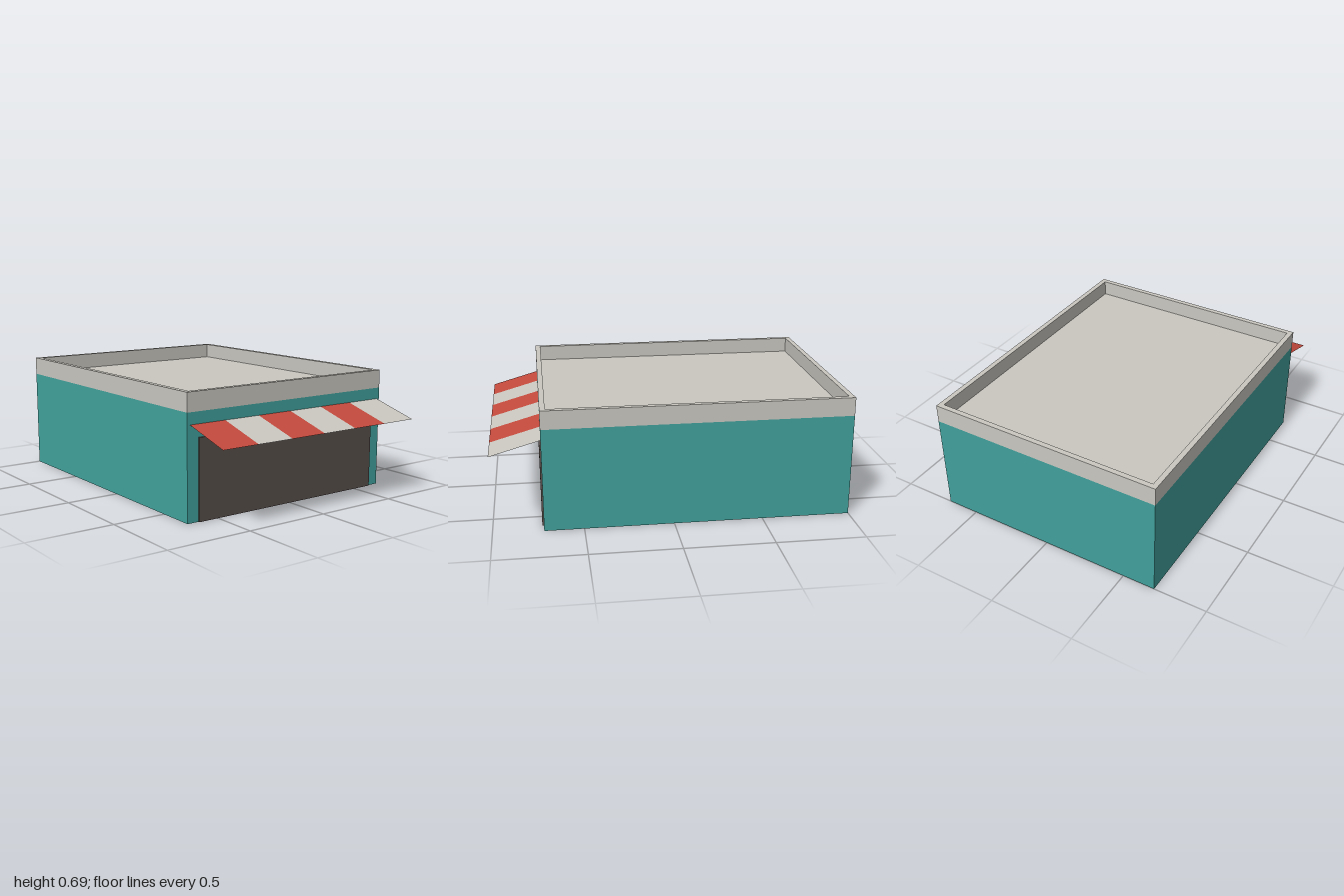
import * as THREE from 'three';

const material = (name, color, side = THREE.FrontSide) => {
  const m = new THREE.MeshStandardMaterial({ color, side });
  m.name = name;
  return m;
};

const HALF_W = 0.69, BACK = -1, FRONT = 0.72;
const WALL_H = 0.585, TOP = 0.69, RIM = 0.03, ROOF_Y = 0.6;
const DEPTH = FRONT - BACK, MID_Z = (FRONT + BACK) / 2;

// Rectangle outline around the origin, as a Shape or a Path for a hole
const rect = (Type, hw, hd) => new Type([
  [-hw, -hd], [hw, -hd], [hw, hd], [-hw, hd],
].map(([x, y]) => new THREE.Vector2(x, y)));

export function createModel() {
  const model = new THREE.Group();
  model.name = 'shop';
  const teal = material('teal wall', 0x41a19c, THREE.DoubleSide);
  const stone = material('pale stone', 0xc9c7c0);
  const dark = material('dark shutter', 0x584f4b);
  const red = material('red cloth', 0xc4493c, THREE.DoubleSide);
  const white = material('white cloth', 0xc9c7c0, THREE.DoubleSide);

  const add = (name, geometry, mat, x, y, z, parent = model) => {
    const mesh = new THREE.Mesh(geometry, mat);
    mesh.name = name;
    mesh.position.set(x, y, z);
    parent.add(mesh);
    return mesh;
  };

  // Hollow shell of walls and ceiling, open at the bottom
  const shell = new THREE.BoxGeometry(HALF_W * 2, WALL_H, DEPTH);
  const index = Array.from(shell.index.array);
  index.splice(18, 6); // drop the bottom face
  shell.setIndex(index);
  shell.clearGroups();
  add('walls', shell, teal, 0, WALL_H / 2, MID_Z);

  // Parapet ring around the roof
  const ring = rect(THREE.Shape, HALF_W, DEPTH / 2);
  ring.holes.push(rect(THREE.Path, HALF_W - RIM, DEPTH / 2 - RIM));
  const parapet = new THREE.ExtrudeGeometry(ring, { depth: TOP - WALL_H, bevelEnabled: false });
  parapet.rotateX(-Math.PI / 2);
  add('parapet', parapet, stone, 0, WALL_H, MID_Z);

  // Sunken flat roof
  const roof = new THREE.PlaneGeometry((HALF_W - RIM) * 2, DEPTH - RIM * 2);
  roof.rotateX(-Math.PI / 2);
  add('roof', roof, stone, 0, ROOF_Y, MID_Z);

  // Wide shop front
  add('shopFront', new THREE.BoxGeometry(1.24, 0.45, 0.009), dark, 0, 0.225, FRONT + 0.0045);

  // Striped sloping awning
  const awning = new THREE.Group();
  awning.name = 'awning';
  model.add(awning);
  const stripes = 6, stripeW = 1.344 / stripes;
  const drop = 0.08, reach = 1 - FRONT;
  const cloth = new THREE.PlaneGeometry(stripeW, Math.hypot(drop, reach));
  cloth.rotateX(-Math.atan2(reach, drop));
  for (let i = 0; i < stripes; i++) {
    const x = (i - (stripes - 1) / 2) * stripeW;
    add('awningStripe', cloth, i % 2 ? white : red, x, 0.48, FRONT + reach / 2, awning);
  }
  return model;
}
